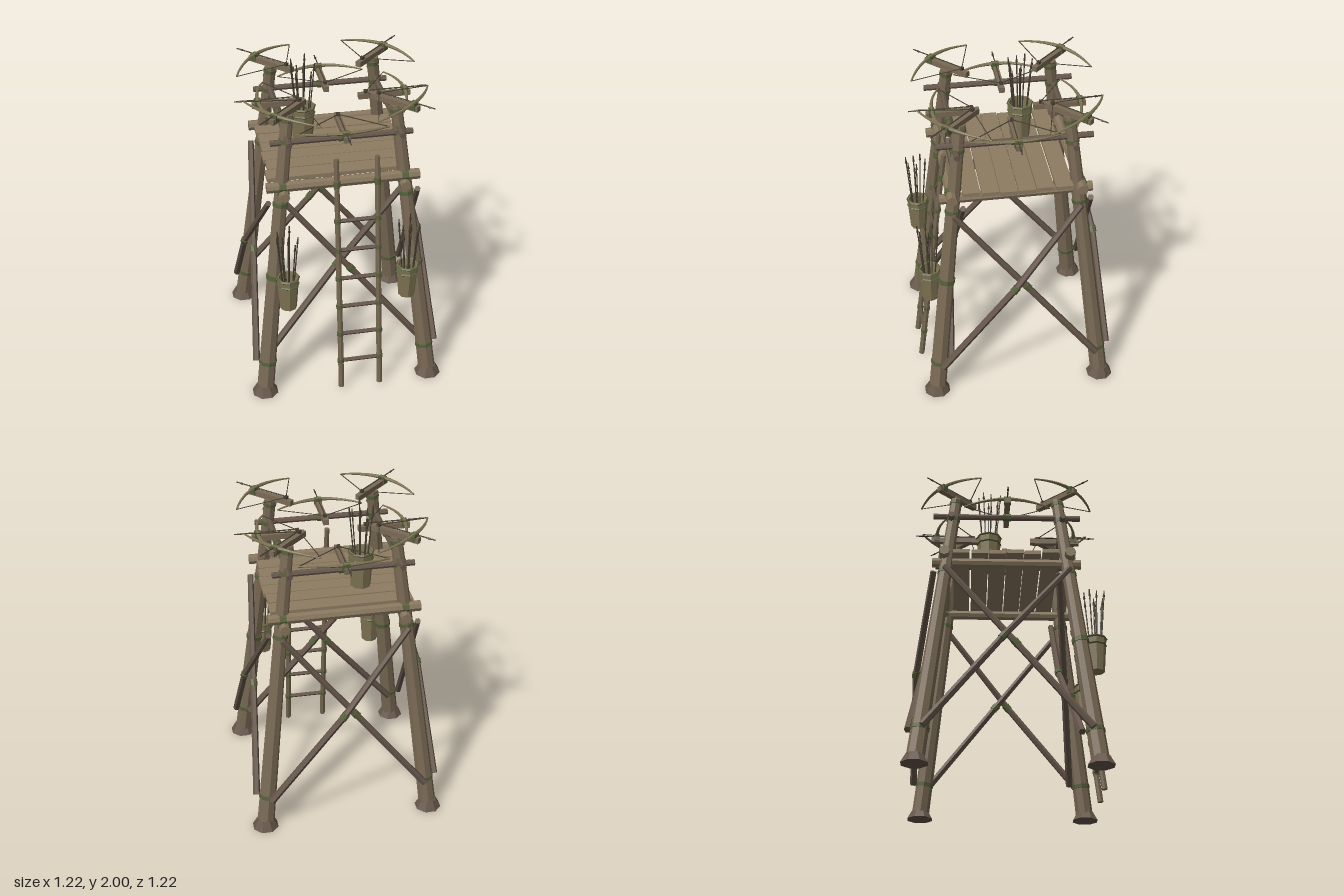
import * as THREE from 'three';

const mat = (color) => new THREE.MeshStandardMaterial({ color, flatShading: true, side: THREE.DoubleSide });
const M = {
  leg: mat(0x7a6a55), plank: mat(0x8d7c62), beam: mat(0x87765d), brace: mat(0x66564a),
  ladder: mat(0x756751), bow: mat(0x7d7354), quiver: mat(0x7f7454), rope: mat(0x56603a), dark: mat(0x463f33),
};
const V = (x, y, z) => new THREE.Vector3(x, y, z);
const UP = V(0, 1, 0);

function add(parent, name, geo, m) {
  const mesh = new THREE.Mesh(geo, m);
  mesh.name = name;
  parent.add(mesh);
  return mesh;
}

// Straight round pole from a (radius ra) to b (radius rb)
function pole(parent, name, a, b, ra, rb, m, sides = 8) {
  const mesh = add(parent, name, new THREE.CylinderGeometry(rb, ra, a.distanceTo(b), sides), m);
  mesh.position.copy(a).lerp(b, 0.5);
  mesh.quaternion.setFromUnitVectors(UP, b.clone().sub(a).normalize());
  return mesh;
}

// Rope lashing: short collar around a point along a direction
function lashing(parent, p, dir, r, h) {
  const d = dir.clone().normalize().multiplyScalar(h / 2);
  return pole(parent, 'lashing', p.clone().sub(d), p.clone().add(d), r, r, M.rope);
}

function group(parent, name) {
  const g = new THREE.Group();
  g.name = name;
  parent.add(g);
  return g;
}

// Arrow with pointed head and crossed feathers near the tail
function arrow(parent, a, b) {
  const d = b.clone().sub(a).normalize();
  pole(parent, 'arrowShaft', a, b, 0.004, 0.004, M.dark, 5);
  pole(parent, 'arrowHead', b.clone().addScaledVector(d, -0.045), b, 0.008, 0.0005, M.dark, 4);
}

// Loaded crossbow aiming along +z, bow centre at the origin
function crossbow(parent, name) {
  const g = group(parent, name);
  const stock = add(g, 'stock', new THREE.BoxGeometry(0.034, 0.034, 0.32), M.leg);
  stock.position.set(0, -0.02, -0.125);
  const n = 10;
  const at = (i) => {
    const t = (i / n) * 2 - 1;
    return V(0.272 * t, 0.008 - 0.02 * t * t, -0.068 * t * t);
  };
  const rad = (i) => 0.012 - 0.007 * Math.abs((i / n) * 2 - 1);
  for (let i = 0; i < n; i++) pole(g, 'bowLimb', at(i), at(i + 1), rad(i), rad(i + 1), M.bow, 6);
  const nock = V(0, 0.006, -0.24);
  for (const i of [0, n]) pole(g, 'bowString', at(i), nock, 0.003, 0.003, M.dark, 4);
  add(g, 'bowLashing', new THREE.BoxGeometry(0.045, 0.045, 0.035), M.rope).position.y = -0.006;
  add(g, 'catch', new THREE.BoxGeometry(0.02, 0.02, 0.02), M.dark).position.copy(nock);
  arrow(g, V(0, 0.012, -0.24), V(0, 0.012, 0.14));
  return g;
}

// Eight-sided open quiver filled with arrows
function quiver(parent, name, x, y, z, r0, r1, h, reach) {
  const g = group(parent, name);
  g.position.set(x, y, z);
  const P = (a, b) => new THREE.Vector2(a, b);
  add(g, 'quiverBody', new THREE.LatheGeometry(
    [P(0.001, 0), P(r0, 0), P(r1, h), P(r1 - 0.01, h), P(r0 - 0.01, 0.02), P(0.001, 0.02)], 8), M.quiver);
  for (const t of [0.78, 0.98]) {
    const ring = add(g, 'quiverBand', new THREE.TorusGeometry(r0 + (r1 - r0) * t, 0.007, 4, 8), M.rope);
    ring.rotation.set(Math.PI / 2, 0, Math.PI / 2);
    ring.position.y = h * t;
  }
  for (let i = 0; i < 9; i++) {
    const a = i * 0.698 + 0.2, q = i === 8 ? 0.1 : 1;
    const s = Math.sin(i * 2.4) * 0.5 + 0.5, top = h + reach * (1 - 0.25 * s);
    arrow(g, V(Math.cos(a) * r0 * 0.45 * q, 0.02, Math.sin(a) * r0 * 0.45 * q),
      V(Math.cos(a) * r1 * 0.95 * q, top, Math.sin(a) * r1 * 0.95 * q));
  }
  return g;
}

export function createModel() {
  const root = new THREE.Group();
  root.name = 'watchtower';
  const legAt = (y) => 0.53 - 0.112 * y; // leg centre offset at a height

  // Corner legs with flared feet and rope collars
  for (const sx of [-1, 1]) for (const sz of [-1, 1]) {
    const g = group(root, 'cornerLeg');
    const p = (y) => V(sx * legAt(y), y, sz * legAt(y));
    const dir = p(1).sub(p(0));
    pole(g, 'leg', p(0.02), p(1.865), 0.055, 0.036, M.leg);
    const foot = add(g, 'foot', new THREE.CylinderGeometry(0.052, 0.084, 0.058, 8), M.brace);
    foot.position.set(sx * 0.53, 0.029, sz * 0.53);
    foot.rotation.y = Math.PI / 8;
    for (const [y, r] of [[0.22, 0.057], [1.3, 0.046], [1.7, 0.042], [1.83, 0.041]]) lashing(g, p(y), dir, r, 0.025);
  }

  // Cross braces, one side built facing +z then turned; the front pair sits inside the legs
  for (let i = 0; i < 4; i++) {
    const g = group(root, 'crossBraces');
    g.rotation.y = (i * Math.PI) / 2;
    const [low, bent, flat, high] = i === 0 ? [0.43, 0.335, 0.375, 0.32] : [0.575, 0.56, 0.515, 0.455];
    const a = V(-0.49, 0.22, low), b = V(-0.03, 0.79, bent), c = V(0.385, 1.31, high);
    pole(g, 'bentBraceLower', a, b, 0.022, 0.021, M.brace, 6);
    pole(g, 'bentBraceUpper', b, c, 0.021, 0.019, M.brace, 6);
    pole(g, 'straightBrace', V(0.49, 0.22, low), V(-0.385, 1.31, high), 0.022, 0.019, M.brace, 6);
    lashing(g, b, c.clone().sub(a), 0.025, 0.04);
    lashing(g, V(0.05, 0.77, flat), V(-0.875, 1.09, 0), 0.025, 0.04);
  }

  // Platform logs, handrails and mid-rail crossbows
  for (const s of [-1, 1]) {
    const p = group(root, 'platformLogs');
    pole(p, 'crossLog', V(-0.465, 1.42, s * 0.39), V(0.46, 1.42, s * 0.39), 0.033, 0.033, M.beam);
    pole(p, 'sideLog', V(s * 0.365, 1.38, -0.465), V(s * 0.365, 1.38, 0.46), 0.031, 0.031, M.beam);
    const h = group(root, 'handrails');
    pole(h, 'crossRail', V(-0.43, 1.695, s * 0.35), V(0.42, 1.695, s * 0.35), 0.019, 0.019, M.brace);
    pole(h, 'sideRail', V(s * 0.335, 1.73, -0.465), V(s * 0.335, 1.73, 0.465), 0.019, 0.019, M.brace);
    for (const e of [-1, 1]) {
      lashing(p, V(e * 0.37, 1.42, s * 0.39), V(1, 0, 0), 0.037, 0.04);
      lashing(p, V(s * 0.365, 1.38, e * 0.39), V(0, 0, 1), 0.037, 0.04);
      lashing(h, V(e * 0.335, 1.695, s * 0.35), V(1, 0, 0), 0.023, 0.05);
      lashing(h, V(s * 0.335, 1.73, e * 0.34), V(0, 0, 1), 0.023, 0.05);
    }
    lashing(h, V(0, 1.695, s * 0.35), V(1, 0, 0), 0.025, 0.05);
    lashing(h, V(s * 0.335, 1.73, 0), V(0, 0, 1), 0.025, 0.05);
  }
  for (let i = 0; i < 8; i++) {
    const a = (i * Math.PI) / 4, corner = i % 2 === 1;
    const d = corner ? 0.575 : 0.45;
    const y = corner ? 1.898 : i % 4 === 0 ? 1.765 : 1.79;
    const c = crossbow(root, corner ? 'cornerCrossbow' : 'railCrossbow');
    c.position.set(Math.sin(a) * d, y, Math.cos(a) * d);
    c.rotation.y = a;
  }

  // Floor planks of slightly uneven length
  const deck = group(root, 'deck');
  [[-0.285, 0.435, 0], [-0.17, 0.43, 0], [-0.06, 0.435, 0.005], [0.05, 0.44, 0], [0.158, 0.43, 0], [0.27, 0.435, -0.015]]
    .forEach(([z, half, x]) => {
      add(deck, 'plank', new THREE.BoxGeometry(half * 2, 0.025, 0.104), M.plank).position.set(x, 1.43, z);
    });

  // Leaning ladder
  const ladder = group(root, 'ladder');
  const zAt = (y) => 0.6 - 0.122 * y;
  const tilt = V(0, 1, -0.122);
  for (const x of [-0.05, 0.197]) {
    pole(ladder, 'ladderRail', V(x, 0.02, zAt(0.02)), V(x, 1.58, zAt(1.58)), 0.018, 0.016, M.ladder);
    lashing(ladder, V(x, 1.42, zAt(1.42)), tilt, 0.021, 0.04);
  }
  for (let i = 0; i < 6; i++) {
    const y = 0.21 + i * 0.194;
    pole(ladder, 'rung', V(-0.07, y, zAt(y)), V(0.217, y, zAt(y)), 0.013, 0.013, M.brace, 6);
    for (const x of [-0.05, 0.197]) lashing(ladder, V(x, y, zAt(y)), tilt, 0.021, 0.028);
  }

  // Quivers: one on the deck, one strapped to each front leg
  quiver(root, 'deckQuiver', -0.16, 1.445, -0.11, 0.062, 0.078, 0.235, 0.32);
  for (const s of [-1, 1]) {
    quiver(root, 'legQuiver', s * 0.37, 0.65, 0.535, 0.052, 0.068, 0.22, 0.33);
    const l = legAt(0.82);
    lashing(root, V(s * l, 0.82, l), V(-s * 0.112, 1, -0.112), 0.053, 0.03);
    pole(root, 'quiverStrap', V(s * l, 0.82, l), V(s * 0.38, 0.82, 0.5), 0.015, 0.015, M.rope, 6);
  }
  return root;
}
